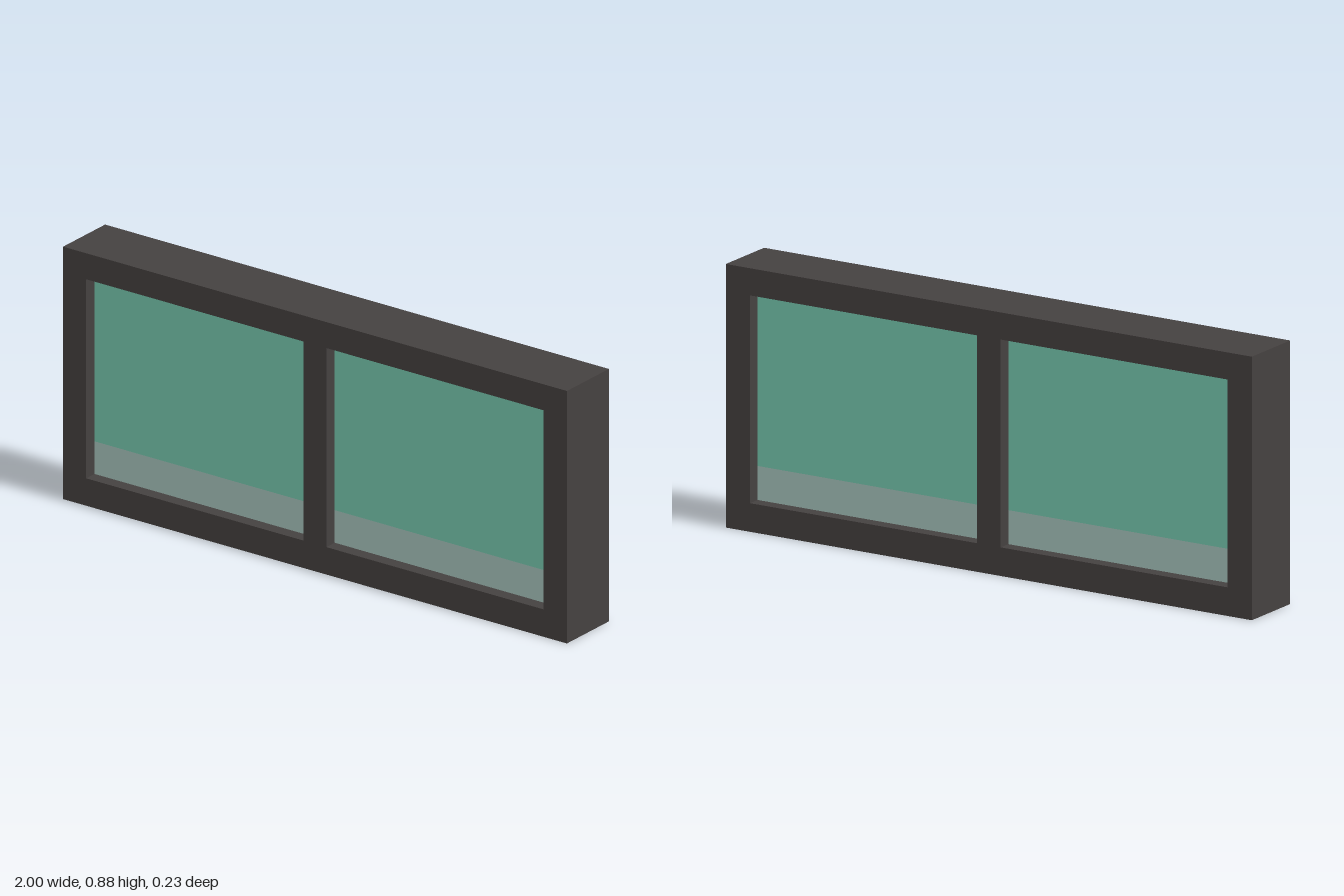
import * as THREE from 'three';

const frameMat = new THREE.MeshStandardMaterial({ name: 'dark frame', color: 0x454140 });
const glassMat = new THREE.MeshStandardMaterial({ name: 'green glass', color: 0x78cbb1 });
const bandMat = new THREE.MeshStandardMaterial({ name: 'pale glass band', color: 0xa9c7bf });

const HEIGHT = 0.875, DEPTH = 0.226, RECESS = 0.045;
const OPEN = { x0: 0.045, x1: 0.908, y0: 0.095, y1: 0.785 };
const BAND_TOP = 0.208;

// Counter-clockwise rectangle as a list of points
const rect = (x0, y0, x1, y1) => [
  new THREE.Vector2(x0, y0), new THREE.Vector2(x1, y0),
  new THREE.Vector2(x1, y1), new THREE.Vector2(x0, y1),
];

export function createModel() {
  const model = new THREE.Group();
  model.name = 'window';

  // Frame with two openings either side of the central mullion
  const outline = new THREE.Shape(rect(-1, 0, 1, HEIGHT));
  for (const [a, b] of [[-OPEN.x1, -OPEN.x0], [OPEN.x0, OPEN.x1]]) {
    outline.holes.push(new THREE.Path(rect(a, OPEN.y0, b, OPEN.y1).reverse()));
  }
  const frameGeo = new THREE.ExtrudeGeometry(outline, { depth: DEPTH, bevelEnabled: false });
  frameGeo.translate(0, 0, -DEPTH / 2);
  const frame = new THREE.Mesh(frameGeo, frameMat);
  frame.name = 'frame';
  model.add(frame);

  // Recessed panes: green glass above a pale band, seen from both sides
  const addPane = (name, side, y0, y1, material) => {
    const geo = new THREE.BoxGeometry(OPEN.x1 - OPEN.x0, y1 - y0, DEPTH - 2 * RECESS);
    const pane = new THREE.Mesh(geo, material);
    pane.position.set(side * (OPEN.x0 + OPEN.x1) / 2, (y0 + y1) / 2, 0);
    pane.name = name;
    model.add(pane);
  };
  for (const [label, side] of [['left', 1], ['right', -1]]) {
    addPane(label + 'Glass', side, BAND_TOP, OPEN.y1, glassMat);
    addPane(label + 'GlassBand', side, OPEN.y0, BAND_TOP, bandMat);
  }
  return model;
}
